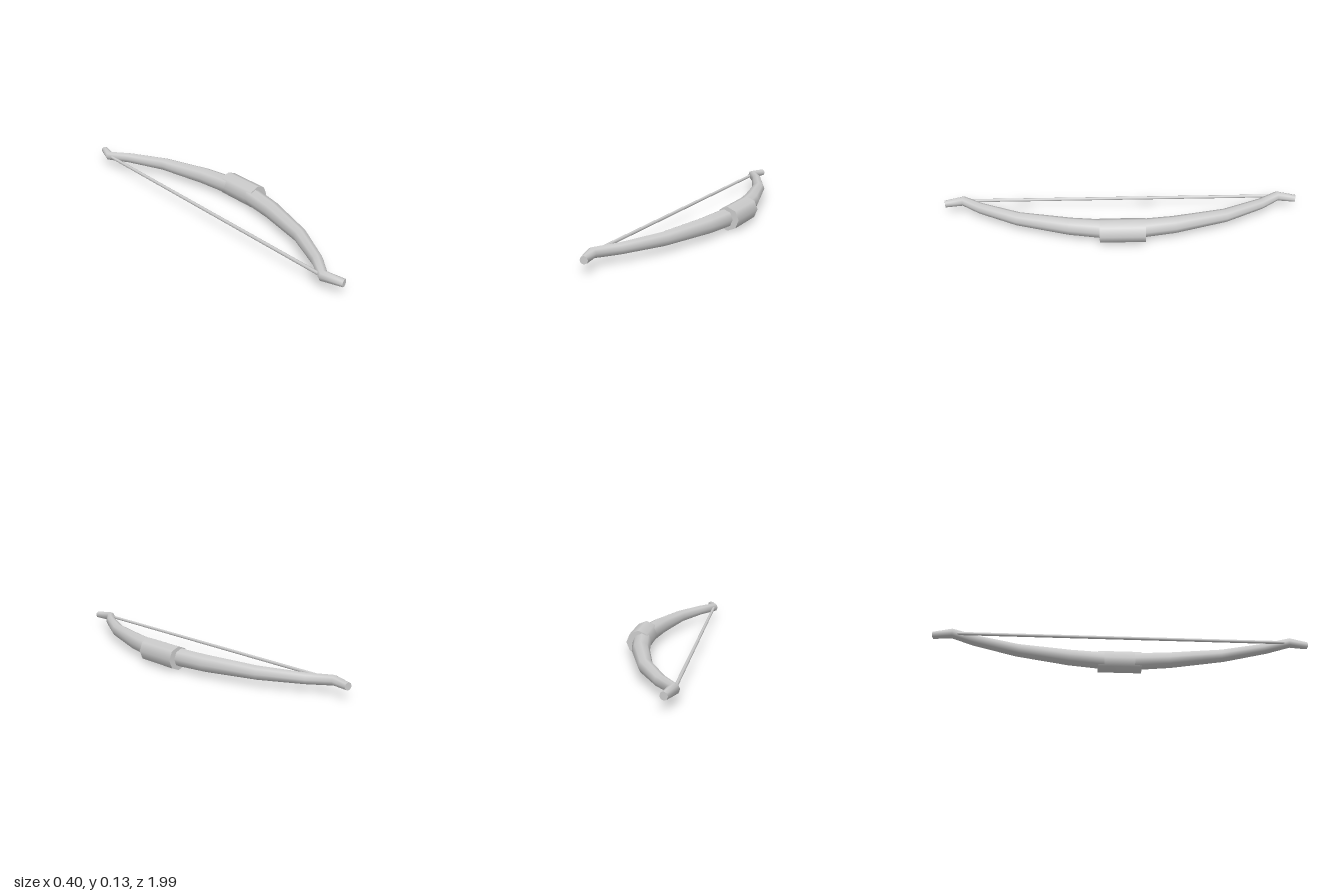
import * as THREE from 'three';

const SIDES = 8;
const MID_Y = 0.065;

// Stave stations from the grip to one tip: [x, z, radius]
const HALF = [
  [0.135, 0, 0.053],
  [0.09, 0.28, 0.047],
  [0.012, 0.565, 0.037],
  [-0.095, 0.78, 0.03],
  [-0.173, 0.89, 0.027],
  [-0.145, 0.99, 0.02],
];

// Eight-sided tapered tube swept through the stations, with mitred joints
function staveGeometry(stations) {
  const pts = stations.map(([x, z]) => new THREE.Vector2(x, z));
  const pos = [], index = [];
  const last = pts.length - 1;
  pts.forEach((p, i) => {
    const a = p.clone().sub(pts[Math.max(i - 1, 0)]).normalize();
    const b = pts[Math.min(i + 1, last)].clone().sub(p).normalize();
    const t = a.add(b).normalize();
    const r = stations[i][2];
    for (let s = 0; s < SIDES; s++) {
      const ang = (s / SIDES) * Math.PI * 2;
      const side = Math.cos(ang) * r;
      pos.push(p.x + t.y * side, Math.sin(ang) * r, p.y - t.x * side);
    }
  });
  for (let i = 0; i < last; i++) {
    for (let s = 0; s < SIDES; s++) {
      const n = (s + 1) % SIDES;
      const a = i * SIDES + s, b = i * SIDES + n;
      index.push(a, b, b + SIDES, a, b + SIDES, a + SIDES);
    }
  }
  // Flat end caps use their own vertices to keep the rim sharp
  for (const ring of [0, last]) {
    const base = pos.length / 3;
    for (let k = 0; k < SIDES * 3; k++) pos.push(pos[ring * SIDES * 3 + k]);
    for (let s = 1; s < SIDES - 1; s++) {
      if (ring === 0) index.push(base, base + s + 1, base + s);
      else index.push(base, base + s, base + s + 1);
    }
  }
  const geo = new THREE.BufferGeometry();
  geo.setAttribute('position', new THREE.Float32BufferAttribute(pos, 3));
  geo.setIndex(index);
  geo.computeVertexNormals();
  return geo;
}

export function createModel() {
  const group = new THREE.Group();
  group.name = 'bow';
  const grey = new THREE.MeshStandardMaterial({ color: 0xcccccc });
  grey.name = 'light grey';

  const add = (name, geometry, x, y) => {
    const mesh = new THREE.Mesh(geometry, grey);
    mesh.name = name;
    mesh.position.set(x, y, 0);
    group.add(mesh);
  };
  const rod = (radius, length, sides) =>
    new THREE.CylinderGeometry(radius, radius, length, sides).rotateX(Math.PI / 2);

  // Curved stave: both limbs mirrored about the grip
  const mirrored = HALF.slice(1).reverse().map(([x, z, r]) => [x, -z, r]);
  add('stave', staveGeometry([...mirrored, ...HALF]), 0, MID_Y);

  // Thicker grip around the middle
  add('grip', rod(0.065, 0.245, SIDES), 0.135, MID_Y);

  // Taut string between the limb bends
  add('string', rod(0.009, 1.77, SIDES), -0.175, MID_Y);

  return group;
}
